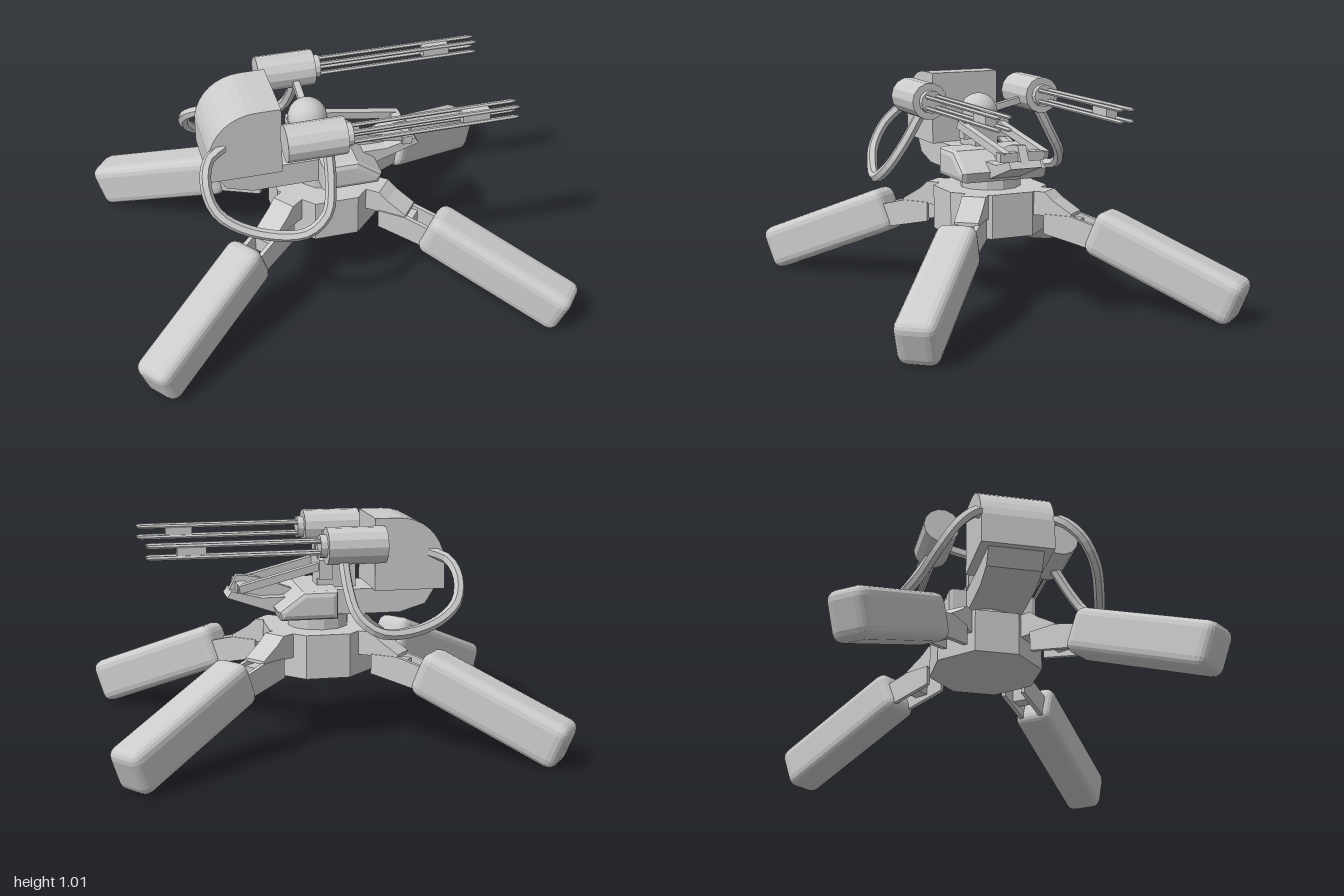
import * as THREE from 'three';
import { RoundedBoxGeometry } from 'three/addons/geometries/RoundedBoxGeometry.js';

const flat = new THREE.MeshStandardMaterial({ color: 0xcccccc, flatShading: true });
const smooth = new THREE.MeshStandardMaterial({ color: 0xcccccc });
const V = (x, y, z) => new THREE.Vector3(x, y, z);

function add(parent, name, geometry, x = 0, y = 0, z = 0, material = flat) {
  const mesh = new THREE.Mesh(geometry, material);
  mesh.name = name;
  mesh.position.set(x, y, z);
  parent.add(mesh);
  return mesh;
}

// Side profile in x and y, extruded to the given width about z = 0
function slab(points, width, bevel = 0) {
  const shape = new THREE.Shape(points.map(([x, y]) => new THREE.Vector2(x, y)));
  const depth = width - 2 * bevel;
  return new THREE.ExtrudeGeometry(shape, {
    depth, bevelEnabled: bevel > 0, bevelSize: bevel, bevelThickness: bevel,
    bevelOffset: -bevel, bevelSegments: 2,
  }).translate(0, 0, -depth / 2);
}

// Cylinder lying along x, from x0 to x1
function rod(r0, r1, x0, x1, sides) {
  return new THREE.CylinderGeometry(r1, r0, x1 - x0, sides)
    .rotateZ(-Math.PI / 2).translate((x0 + x1) / 2, 0, 0);
}

// Box beam between two points
function beam(parent, name, a, b, height, depth) {
  const mesh = add(parent, name, new THREE.BoxGeometry(depth, height, a.distanceTo(b)));
  mesh.position.copy(a).lerp(b, 0.5);
  mesh.lookAt(b);
}

function makeLeg() {
  const leg = new THREE.Group();
  leg.name = 'leg';
  add(leg, 'legMount', slab(
    [[0.18, 0.39], [0.43, 0.395], [0.43, 0.41], [0.34, 0.465], [0.3, 0.5], [0.18, 0.5]], 0.11));
  for (const s of [-1, 1]) {
    add(leg, 'legLink', slab(
      [[0.3, 0.31], [0.58, 0.25], [0.58, 0.36], [0.43, 0.4], [0.3, 0.4]], 0.02), 0, 0, s * 0.05);
  }
  add(leg, 'linkBlock', new THREE.BoxGeometry(0.07, 0.07, 0.09), 0.42, 0.345, 0);
  const foot = add(leg, 'foot', new RoundedBoxGeometry(0.73, 0.21, 0.18, 2, 0.045), 0.865, 0.213, 0);
  foot.rotation.z = -0.38;
  return leg;
}

function makeGun() {
  const gun = new THREE.Group();
  gun.name = 'gun';
  add(gun, 'gunBody', rod(0.083, 0.083, -0.25, 0.015, 14));
  add(gun, 'gunCollar', rod(0.052, 0.052, 0.015, 0.045, 12));
  for (const y of [-0.025, 0.025]) {
    for (const z of [-0.025, 0.025]) {
      add(gun, 'barrel', rod(0.01, 0.01, 0.04, 0.78, 6), 0, y, z);
      add(gun, 'barrelTip', rod(0.01, 0.005, 0.78, 0.8, 6), 0, y, z);
    }
  }
  add(gun, 'barrelClamp', new THREE.BoxGeometry(0.125, 0.052, 0.052), 0.605, 0, 0);
  return gun;
}

export function createModel() {
  const model = new THREE.Group();
  model.name = 'sentryTurret';

  // Octagonal base with a turning plate
  const base = add(model, 'base', new THREE.CylinderGeometry(0.26, 0.26, 0.2, 8), 0, 0.4, 0);
  base.rotation.y = Math.PI / 8;
  add(model, 'turningPlate', new THREE.CylinderGeometry(0.14, 0.14, 0.07, 12), 0, 0.53, 0);

  // Four splayed legs
  const spread = 0.675;
  for (const angle of [spread, -spread, Math.PI - spread, Math.PI + spread]) {
    const leg = makeLeg();
    leg.rotation.y = angle;
    model.add(leg);
  }

  const turret = new THREE.Group();
  turret.name = 'turret';
  turret.position.z = 0.022;
  model.add(turret);

  // Hull, cross block and curved hood
  add(turret, 'hull', slab(
    [[-0.53, 0.675], [-0.48, 0.595], [-0.36, 0.56], [0.15, 0.56], [0.15, 0.63], [0.06, 0.675]], 0.25));
  add(turret, 'crossBlock', slab(
    [[-0.06, 0.555], [0.2, 0.555], [0.215, 0.6], [0.1, 0.685], [-0.06, 0.685]], 0.425, 0.025));
  const hood = new THREE.Shape();
  hood.moveTo(-0.235, 0.67);
  hood.lineTo(-0.235, 1);
  hood.lineTo(-0.34, 1);
  hood.bezierCurveTo(-0.46, 1, -0.54, 0.92, -0.56, 0.81);
  hood.lineTo(-0.56, 0.67);
  add(turret, 'hood', new THREE.ExtrudeGeometry(hood,
    { depth: 0.33, bevelEnabled: false, curveSegments: 8 }).translate(0, 0, -0.165));

  // Neck with a dome on top
  add(turret, 'neck', new THREE.BoxGeometry(0.18, 0.16, 0.11), -0.08, 0.74, 0);
  add(turret, 'neckAxle', new THREE.BoxGeometry(0.06, 0.09, 0.225), -0.02, 0.765, 0);
  add(turret, 'dome', new THREE.SphereGeometry(0.088, 24, 10, 0, Math.PI * 2, 0, Math.PI * 0.55),
    -0.08, 0.83, 0, smooth);
  add(turret, 'domeFloor', new THREE.CylinderGeometry(0.087, 0.087, 0.012, 24), -0.08, 0.818, 0);

  // Pointed nose: low wedge, upright ridge and two side struts
  add(turret, 'noseWedge', slab(
    [[0.12, 0.57], [0.2, 0.567], [0.425, 0.645], [0.405, 0.675], [0.27, 0.64], [0.12, 0.64]], 0.15));
  add(turret, 'noseRidge', slab(
    [[0.1, 0.66], [0.25, 0.62], [0.42, 0.65], [0.375, 0.74], [0.29, 0.73]], 0.04));
  for (const s of [-1, 1]) {
    beam(turret, 'noseStrut', V(-0.03, 0.785, s * 0.092), V(0.38, 0.69, s * 0.092), 0.035, 0.035);
  }
  add(turret, 'strutPin', new THREE.BoxGeometry(0.045, 0.04, 0.21), 0.36, 0.69, 0);

  // Gun, arm and hanging cable on each side
  for (const s of [-1, 1]) {
    const gun = makeGun();
    gun.position.set(0, 0.903, s * 0.28);
    turret.add(gun);
    beam(turret, 'gunArm', V(-0.08, 0.835, s * 0.05), V(-0.08, 0.885, s * 0.23), 0.03, 0.03);
    const path = new THREE.CatmullRomCurve3([
      V(-0.49, 0.84, s * 0.15), V(-0.565, 0.81, s * 0.19), V(-0.595, 0.73, s * 0.27),
      V(-0.56, 0.63, s * 0.34), V(-0.42, 0.55, s * 0.4), V(-0.2, 0.54, s * 0.455),
      V(-0.1, 0.61, s * 0.43), V(-0.07, 0.71, s * 0.37), V(-0.06, 0.85, s * 0.29),
    ]);
    add(turret, 'cable', new THREE.TubeGeometry(path, 28, 0.025, 6));
  }
  return model;
}
